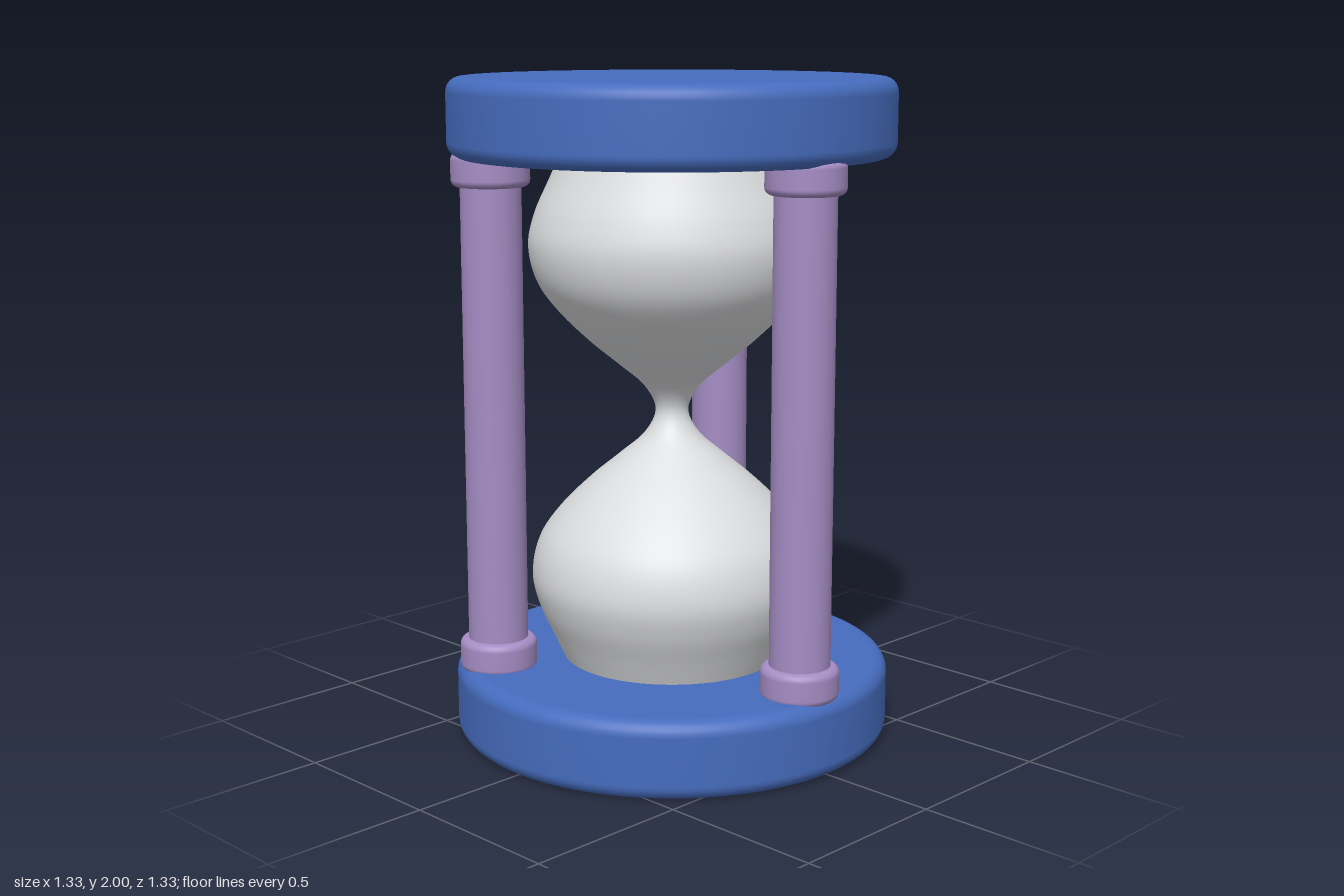
import * as THREE from 'three';

const blue = new THREE.MeshStandardMaterial({ color: 0x466cbe });
blue.name = 'blue';
const purple = new THREE.MeshStandardMaterial({ color: 0xa58dc4 });
purple.name = 'purple';
const glassGrey = new THREE.MeshStandardMaterial({ color: 0xdcdddf });
glassGrey.name = 'glass grey';

// Disc with rounded rims, standing on y = 0
function roundedDisc(radius, height, bevel, segments) {
  const steps = 6;
  const points = [new THREE.Vector2(0, 0), new THREE.Vector2(radius - bevel * 1.05, 0)];
  const arc = (cy, from) => {
    for (let i = 0; i <= steps; i++) {
      const a = from + (i / steps) * Math.PI / 2;
      points.push(new THREE.Vector2(radius - bevel + Math.cos(a) * bevel, cy + Math.sin(a) * bevel));
    }
  };
  arc(bevel, -Math.PI / 2);
  arc(height - bevel, 0);
  points.push(new THREE.Vector2(radius - bevel * 1.05, height), new THREE.Vector2(0, height));
  return new THREE.LatheGeometry(points, segments);
}

function addMesh(parent, name, geometry, material, y = 0) {
  const mesh = new THREE.Mesh(geometry, material);
  mesh.name = name;
  mesh.position.y = y;
  parent.add(mesh);
  return mesh;
}

export function createModel() {
  const model = new THREE.Group();
  model.name = 'hourglass';

  // Base and lid
  const plate = roundedDisc(0.665, 0.235, 0.045, 96);
  addMesh(model, 'basePlate', plate, blue);
  addMesh(model, 'topPlate', plate, blue, 1.765);

  // Glass: lower half of the profile, mirrored about the neck
  const half = [
    [0.32, 0.2], [0.365, 0.3], [0.41, 0.4], [0.43, 0.495], [0.407, 0.6],
    [0.345, 0.69], [0.255, 0.78], [0.165, 0.855], [0.085, 0.925],
  ];
  const profile = [
    ...half,
    [0.05, 1],
    ...half.map(([r, y]) => [r, 2 - y]).reverse(),
  ].map(([r, y]) => new THREE.Vector2(r, y));
  const glassCurve = new THREE.SplineCurve(profile);
  addMesh(model, 'glass', new THREE.LatheGeometry(glassCurve.getPoints(108), 72), glassGrey);

  // Three pillars with a collar at each end
  const shaft = new THREE.CylinderGeometry(0.09, 0.09, 1.5, 40);
  const collar = roundedDisc(0.116, 0.1, 0.022, 40);
  for (let i = 0; i < 3; i++) {
    const angle = THREE.MathUtils.degToRad(2 + i * 120);
    const pillar = new THREE.Group();
    pillar.name = 'pillar' + (i + 1);
    pillar.position.set(Math.cos(angle) * 0.543, 0, Math.sin(angle) * 0.543);
    addMesh(pillar, 'shaft', shaft, purple, 1);
    addMesh(pillar, 'lowerCollar', collar, purple, 0.22);
    addMesh(pillar, 'upperCollar', collar, purple, 1.685);
    model.add(pillar);
  }

  return model;
}
